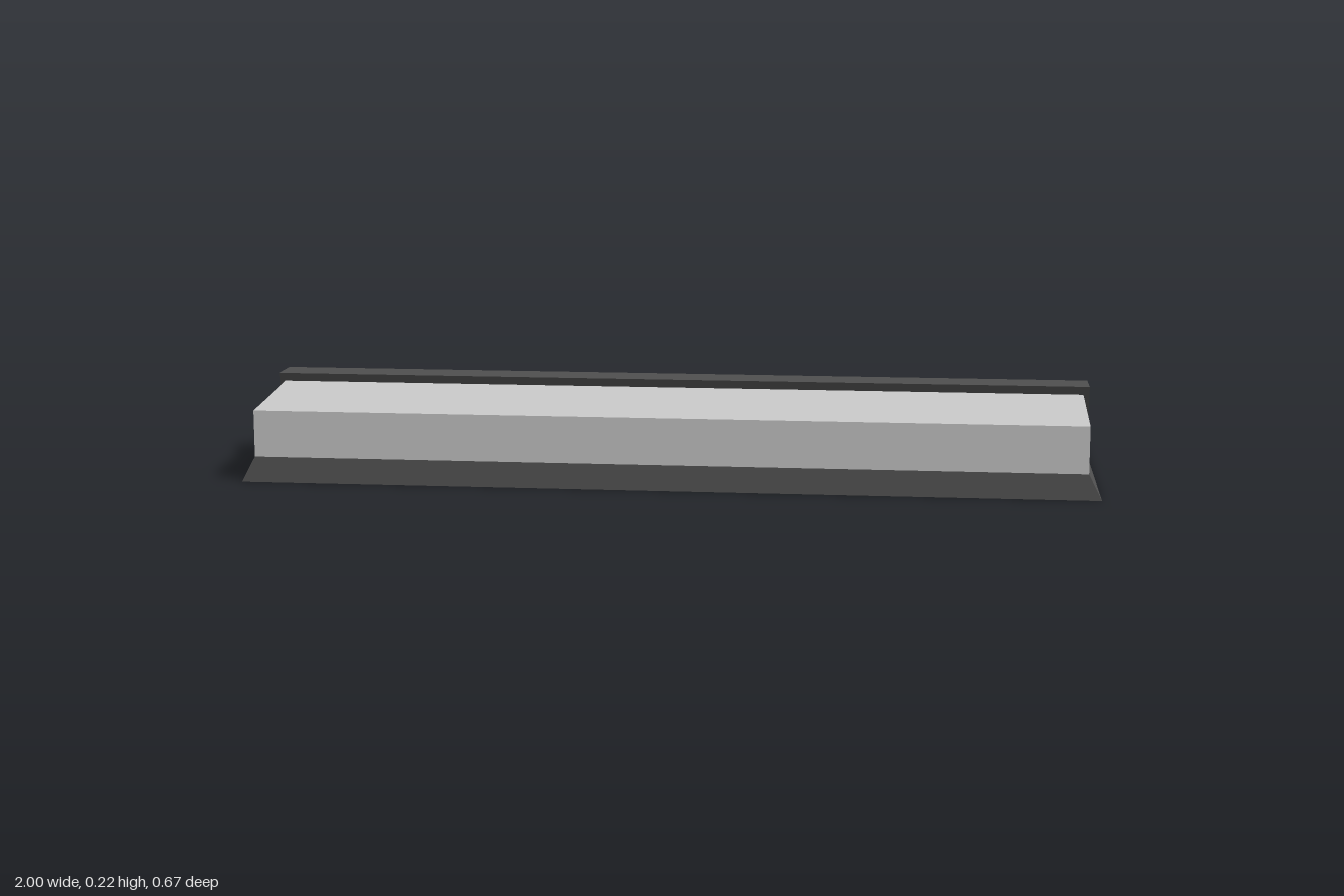
import * as THREE from 'three';

const grey = new THREE.MeshStandardMaterial({ color: 0xcccccc, flatShading: true });
const dark = new THREE.MeshStandardMaterial({ color: 0x505050, flatShading: true });

// Extrude a (z, y) cross-section along x, centred on x = 0
function prism(name, section, length, material) {
  const shape = new THREE.Shape(section.map(([z, y]) => new THREE.Vector2(z, y)));
  const geometry = new THREE.ExtrudeGeometry(shape, { depth: length, bevelEnabled: false });
  geometry.translate(0, 0, -length / 2).rotateY(-Math.PI / 2);
  const mesh = new THREE.Mesh(geometry, material);
  mesh.name = name;
  return mesh;
}

// Plinth whose sides taper inwards to the foot of the body
function taperedPlinth() {
  const height = 0.059;
  const geometry = new THREE.BoxGeometry(2, height, 0.666).translate(0, height / 2, 0);
  const p = geometry.attributes.position;
  for (let i = 0; i < p.count; i++) {
    if (p.getY(i) > height / 2) {
      p.setX(i, Math.sign(p.getX(i)) * 0.97);
      p.setZ(i, Math.sign(p.getZ(i)) * 0.324);
    }
  }
  geometry.computeVertexNormals();
  const mesh = new THREE.Mesh(geometry, dark);
  mesh.name = 'plinth';
  return mesh;
}

export function createModel() {
  const model = new THREE.Group();
  model.name = 'ridgedSlab';

  // Body with a shallow pitched top
  const body = prism('body', [
    [-0.324, 0.059], [0.324, 0.059], [0.324, 0.169], [0, 0.199], [-0.324, 0.169],
  ], 1.94, grey);

  // Wedge-shaped rail along the ridge, point down
  const rail = prism('ridgeRail', [[0, 0.042], [0.048, 0.215], [-0.048, 0.215]], 1.968, dark);

  model.add(taperedPlinth(), body, rail);
  return model;
}
